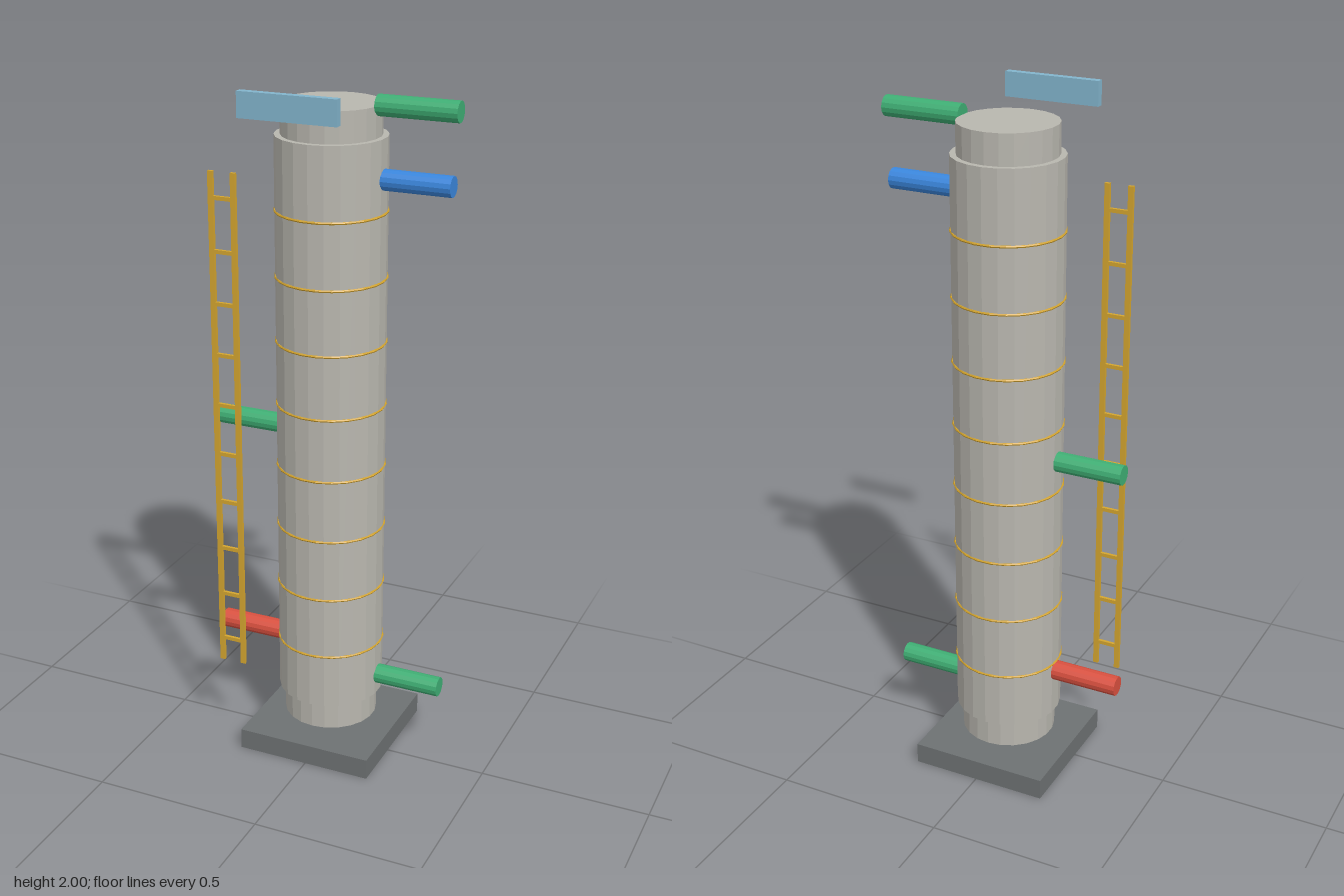
import * as THREE from 'three';

const CX = -0.007, CZ = -0.038; // column axis
const SIDES = 22;

const paint = (color) => new THREE.MeshStandardMaterial({ color, flatShading: true });
const mats = {
  column: paint(0xb8b6ae), base: paint(0x6d7172), gold: paint(0xd4a52f),
  green: paint(0x3fae74), blue: paint(0x3a86dc), red: paint(0xd9503f), panel: paint(0x82b4cc),
};

export function createModel() {
  const model = new THREE.Group();

  const add = (name, geometry, material, x, y, z, parent = model) => {
    const mesh = new THREE.Mesh(geometry, material);
    mesh.name = name;
    mesh.position.set(x, y, z);
    parent.add(mesh);
    return mesh;
  };
  const box = (w, h, d) => new THREE.BoxGeometry(w, h, d);
  const drum = (name, r, y0, y1) =>
    add(name, new THREE.CylinderGeometry(r, r, y1 - y0, SIDES), mats.column, CX, (y0 + y1) / 2, CZ);

  // Base slab
  add('baseSlab', box(0.41, 0.062, 0.41), mats.base, CX, 0.031, CZ);

  // Column shell with narrower ends
  drum('bottomCap', 0.138, 0.09, 0.175);
  drum('columnShell', 0.155, 0.175, 1.85);
  drum('topCap', 0.138, 1.85, 1.936);

  // Hoops around the shell
  const hoopGeometry = new THREE.TorusGeometry(0.1545, 0.004, 6, SIDES).rotateX(Math.PI / 2);
  for (let i = 0; i < 8; i++) add('hoop', hoopGeometry, mats.gold, CX, 0.34 + i * 0.1863, CZ);

  // Horizontal pipe stubs
  const pipe = (name, material, x0, x1, y) => {
    const geometry = new THREE.CylinderGeometry(0.029, 0.029, x1 - x0, 14).rotateZ(Math.PI / 2);
    add(name, geometry, material, (x0 + x1) / 2, y, CZ);
  };
  pipe('topOutletPipe', mats.green, 0.127, 0.357, 1.937);
  pipe('refluxPipe', mats.blue, 0.143, 0.343, 1.74);
  pipe('bottomOutletPipe', mats.green, 0.143, 0.343, 0.235);
  pipe('feedPipe', mats.green, -0.36, -0.16, 0.993);
  pipe('heatingPipe', mats.red, -0.36, -0.16, 0.312);

  // Ladder
  const ladder = new THREE.Group();
  ladder.name = 'ladder';
  model.add(ladder);
  const ladderZ = 0.122;
  for (const x of [-0.29, -0.222]) add('ladderRail', box(0.015, 1.49, 0.01), mats.gold, x, 1.012, ladderZ, ladder);
  for (let i = 0; i < 10; i++)
    add('ladderRung', box(0.076, 0.011, 0.009), mats.gold, -0.256, 0.341 + i * 0.1492, ladderZ, ladder);

  // Panel floating in front of the top
  add('panel', box(0.279, 0.069, 0.022), mats.panel, CX, 1.9655, 0.23);

  return model;
}
